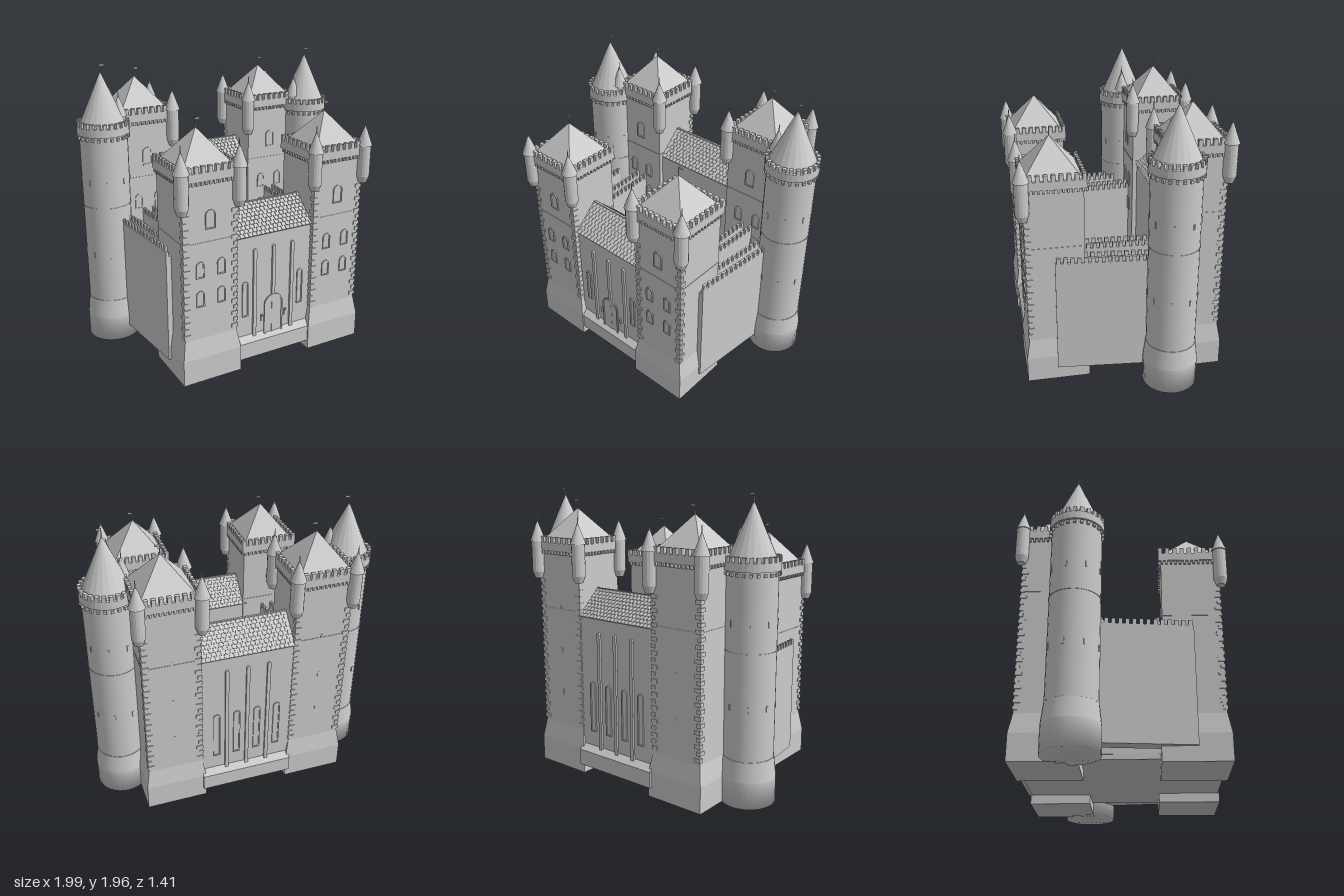
import * as THREE from 'three';
import { mergeGeometries } from 'three/addons/utils/BufferGeometryUtils.js';

const smooth = new THREE.MeshStandardMaterial({ color: 0xcccccc, side: THREE.DoubleSide });
const flat = new THREE.MeshStandardMaterial({ color: 0xcccccc, side: THREE.DoubleSide, flatShading: true });

function add(parent, name, geo, x = 0, y = 0, z = 0, mat = flat) {
  const m = new THREE.Mesh(geo, mat);
  m.name = name;
  m.position.set(x, y, z);
  parent.add(m);
  return m;
}
function group(parent, name, x = 0, y = 0, z = 0, ry = 0) {
  const g = new THREE.Group();
  g.name = name;
  g.position.set(x, y, z);
  g.rotation.y = ry;
  parent.add(g);
  return g;
}
const box = (w, h, d, x = 0, y = 0, z = 0) => new THREE.BoxGeometry(w, h, d).translate(x, y, z);
// box given by its limits
const span = (x0, x1, y0, y1, z0, z1) => box(x1 - x0, y1 - y0, z1 - z0, (x0 + x1) / 2, (y0 + y1) / 2, (z0 + z1) / 2);
// square frustum between two heights, a and b are half widths
const frustum = (a, b, y0, y1) => new THREE.CylinderGeometry(b * Math.SQRT2, a * Math.SQRT2, y1 - y0, 4, 1)
  .rotateY(Math.PI / 4).translate(0, (y0 + y1) / 2, 0);
const lathe = (pts, n) => new THREE.LatheGeometry(pts.map(p => new THREE.Vector2(...p)), n);

function archShape(w, h, Type = THREE.Shape, y = 0) {
  const s = new Type(), r = w / 2;
  s.moveTo(-r, y);
  s.lineTo(r, y);
  s.lineTo(r, y + h - r);
  s.absarc(0, y + h - r, r, 0, Math.PI, false);
  s.lineTo(-r, y);
  return s;
}
const archBlock = (w, h, d) => new THREE.ExtrudeGeometry(archShape(w, h), { depth: d, bevelEnabled: false, curveSegments: 6 });
// raised arched frame around a flat pane
function archOpening(parent, name, w, h, x, y, z, t = 0.008) {
  const g = group(parent, name, x, y, z);
  const s = archShape(w + 2 * t, h + 2 * t);
  s.holes.push(archShape(w, h, THREE.Path, t));
  add(g, 'frame', new THREE.ExtrudeGeometry(s, { depth: 0.008, bevelEnabled: false, curveSegments: 8 }));
  add(g, 'pane', new THREE.ShapeGeometry(archShape(w, h), 8), 0, t, 0.002);
  return g;
}
function finial(parent, y, h, flag) {
  add(parent, 'spike', new THREE.CylinderGeometry(0.002, 0.004, h, 6), 0, y + h / 2 - 0.01, 0);
  if (flag) add(parent, 'flag', box(0.03, 0.012, 0.002, 0.016, y + h - 0.018, 0));
}

// hanging corner turret, y is its lowest point
function turret(parent, x, y, z) {
  const g = group(parent, 'cornerTurret', x, y, z);
  add(g, 'turretBody', lathe([[0, 0], [0.028, 0], [0.045, 0.045], [0.045, 0.26], [0, 0.26]], 16));
  add(g, 'turretRoof', new THREE.ConeGeometry(0.053, 0.145, 16), 0, 0.33, 0);
  finial(g, 0.4, 0.045, false);
}

// square tower; out = +1 or -1 picks the exposed z side, top = parapet height
function squareTower(root, x, z, top, out, turrets) {
  const g = group(root, 'squareTower', x, 0, z), b = 0.188, p = 0.205;
  add(g, 'base', frustum(0.21, 0.21, 0, 0.175));
  add(g, 'baseSlope', frustum(0.21, b, 0.175, 0.305));
  add(g, 'body', frustum(b, b, 0.305, top));
  add(g, 'band', frustum(b + 0.003, b + 0.003, top - 0.46, top - 0.452));
  const parts = [], corbels = [];
  for (let k = 0; k < 4; k++) {
    const a = k * Math.PI / 2;
    parts.push(box(2 * p, 0.055, 0.025, 0, top - 0.0275, p - 0.0125).rotateY(a));
    for (let i = 0; i < 9; i++) {
      const u = -p + 0.0135 + i * (2 * p - 0.027) / 8;
      parts.push(box(0.027, 0.04, 0.025, u, top + 0.02, p - 0.0125).rotateY(a));
    }
    for (let i = 0; i < 13; i++)
      corbels.push(box(0.014, 0.022, 0.02, -0.18 + i * 0.03, top - 0.067, b + 0.006).rotateY(a));
  }
  add(g, 'battlements', mergeGeometries(parts));
  add(g, 'corbels', mergeGeometries(corbels));
  add(g, 'roof', new THREE.ConeGeometry(0.185 * Math.SQRT2, 0.23, 4).rotateY(Math.PI / 4), 0, top + 0.115, 0);
  finial(g, top + 0.23, 0.07, true);
  // alternating corner stones
  const quoins = [];
  for (const s of [-1, 1])
    for (let y = 0.34, i = 0; y < top - 0.27; y += 0.045, i++) {
      const w = i % 2 ? 0.03 : 0.045, d = i % 2 ? 0.045 : 0.03;
      quoins.push(box(w, 0.026, d, s * (b + 0.006 - w / 2), y, out * (b + 0.006 - d / 2)));
    }
  add(g, 'cornerStones', mergeGeometries(quoins));
  for (const [sx, sz] of turrets) turret(g, sx * 0.198, top - 0.25, sz * 0.198);
  // front windows
  archOpening(g, 'window', 0.055, 0.11, 0, top - 0.37, b);
  for (const s of [-1, 1]) for (const y of [top - 0.69, top - 0.89])
    archOpening(g, 'window', 0.042, 0.095, s * 0.075, y, b);
  // rear slits
  for (const y of [0.55, 0.85, 1.15]) add(g, 'slit', box(0.012, 0.04, 0.006, 0, y, -b));
}

function roundTower(root, x, z) {
  const g = group(root, 'roundTower', x, 0, z);
  add(g, 'base', lathe([[0, 0], [0.18, 0], [0.18, 0.175]], 32), 0, 0, 0, smooth);
  add(g, 'baseSlope', lathe([[0.18, 0.175], [0.165, 0.305]], 32), 0, 0, 0, smooth);
  add(g, 'body', new THREE.CylinderGeometry(0.163, 0.163, 1.25, 32), 0, 0.925, 0, smooth);
  for (const y of [0.305, 1.0]) add(g, 'band', new THREE.CylinderGeometry(0.166, 0.166, 0.008, 32), 0, y, 0, smooth);
  add(g, 'parapet', lathe([[0.15, 1.5], [0.177, 1.5], [0.177, 1.555], [0.15, 1.555], [0.15, 1.5]], 32));
  const stones = [], slits = [];
  for (let i = 0; i < 24; i++) {
    const a = i * Math.PI / 12;
    stones.push(box(0.026, 0.035, 0.025, 0, 1.57, 0.165).rotateY(a));
    stones.push(box(0.018, 0.02, 0.025, 0, 1.48, 0.165).rotateY(a));
  }
  for (let i = 0; i < 8; i++)
    for (const y of [0.65, 1.18]) slits.push(box(0.01, 0.04, 0.008, 0, y, 0.163).rotateY(i * Math.PI / 4 + 0.5));
  add(g, 'battlements', mergeGeometries(stones));
  add(g, 'slits', mergeGeometries(slits));
  add(g, 'roof', new THREE.ConeGeometry(0.157, 0.355, 20), 0, 1.735, 0);
  finial(g, 1.91, 0.06, true);
}

// battlemented wall between two plan points
function curtainWall(root, x0, z0, x1, z1) {
  const dx = x1 - x0, dz = z1 - z0, len = Math.hypot(dx, dz), w = 0.09;
  const g = group(root, 'curtainWall', (x0 + x1) / 2, 0, (z0 + z1) / 2, Math.atan2(dx, dz));
  add(g, 'wall', span(-w / 2, w / 2, 0.095, 0.84, -len / 2, len / 2));
  const parts = [], n = Math.round(len / 0.044);
  for (const s of [-1, 1]) {
    parts.push(box(0.018, 0.035, len, s * (w / 2 - 0.009), 0.8575, 0));
    for (let i = 0; i < n; i++)
      parts.push(box(0.018, 0.035, 0.026, s * (w / 2 - 0.009), 0.8925, -len / 2 + (i + 0.5) * len / n));
  }
  add(g, 'battlements', mergeGeometries(parts));
}

// gabled hall; f = +1 faces front, -1 faces back
function hall(root, name, z, eave, ridge, half, f) {
  const g = group(root, name, 0, 0, z, f > 0 ? 0 : Math.PI), hx = 0.32, d = 0.17;
  add(g, 'walls', span(-hx, hx, 0.09, eave, -d, d));
  add(g, 'plinth', span(-hx, hx, 0.065, 0.175, -d, 0.21));
  const slope = new THREE.Shape([[d, 0.175], [0.21, 0.175], [d, 0.215]].map(p => new THREE.Vector2(...p)));
  add(g, 'plinthSlope', new THREE.ExtrudeGeometry(slope, { depth: 2 * hx, bevelEnabled: false }).rotateY(-Math.PI / 2), hx, 0, 0);
  const gable = new THREE.Shape([[-half, eave], [half, eave], [0, ridge]].map(p => new THREE.Vector2(...p)));
  add(g, 'roof', new THREE.ExtrudeGeometry(gable, { depth: 2 * hx, bevelEnabled: false }).rotateY(-Math.PI / 2), hx, 0, 0);
  // overlapping tiles, rows staggered
  const tiles = [], rows = 9, ang = Math.atan2(ridge - eave, half), run = Math.hypot(half, ridge - eave) / rows;
  for (const s of [-1, 1])
    for (let r = 0; r < rows; r++) {
      const t = (r + 0.5) / rows;
      for (let i = 0; i < 20; i++)
        tiles.push(box(0.028, 0.006, run * 1.1).rotateX(s * (ang - 0.12))
          .translate(-0.305 + i * 0.0315 + (r % 2) * 0.012, ridge - t * (ridge - eave) + 0.003, s * half * t));
    }
  add(g, 'roofTiles', mergeGeometries(tiles));
  add(g, 'ridge', box(2 * hx, 0.012, 0.014, 0, ridge, 0));
  for (const x of [-0.145, 0, 0.145]) add(g, 'pilaster', archBlock(0.024, eave - 0.29, 0.014), x, 0.2, d);
  return g;
}

export function createModel() {
  const root = new THREE.Group();
  root.name = 'castle';
  add(root, 'courtyardFloor', span(-0.54, 0.54, 0.062, 0.098, -0.655, 0.65));

  for (const s of [-1, 1]) {
    squareTower(root, s * 0.482, 0.45, 1.425, 1, [[-1, 1], [1, 1]]);
    squareTower(root, s * 0.508, -0.455, 1.6, -1, [[-1, 1], [1, 1], [-1, -1], [1, -1]]);
    roundTower(root, s * 0.815, -0.28);
    curtainWall(root, s * 0.725, -0.2, s * 0.662, 0.455);
    curtainWall(root, s * 0.512, -0.28, s * 0.485, 0.28);
  }

  // gatehouse with arched door
  const gate = hall(root, 'gatehouse', 0.44, 0.93, 1.1, 0.18, 1);
  const door = archOpening(gate, 'door', 0.125, 0.29, 0, 0.175, 0.18, 0.01);
  add(door, 'doorFill', archBlock(0.125, 0.29, 0.012), 0, 0.01, -0.012);
  add(door, 'doorSeam', box(0.004, 0.28, 0.004, 0, 0.15, 0.002));
  for (const s of [-1, 1]) {
    const torch = group(gate, 'wallTorch', s * 0.093, 0.32, 0.178);
    add(torch, 'handle', box(0.005, 0.04, 0.008));
    add(torch, 'cup', new THREE.CylinderGeometry(0.008, 0.004, 0.014, 6), 0, 0.022, 0.006);
    archOpening(gate, 'tallWindow', 0.028, 0.24, s * 0.215, 0.36, 0.17);
  }

  // great hall with narrow windows
  const great = hall(root, 'greatHall', -0.47, 1.12, 1.29, 0.178, -1);
  for (const x of [-0.215, -0.0725, 0.0725, 0.215])
    archOpening(great, 'tallWindow', 0.032, 0.34, x, 0.32, 0.17);
  return root;
}
